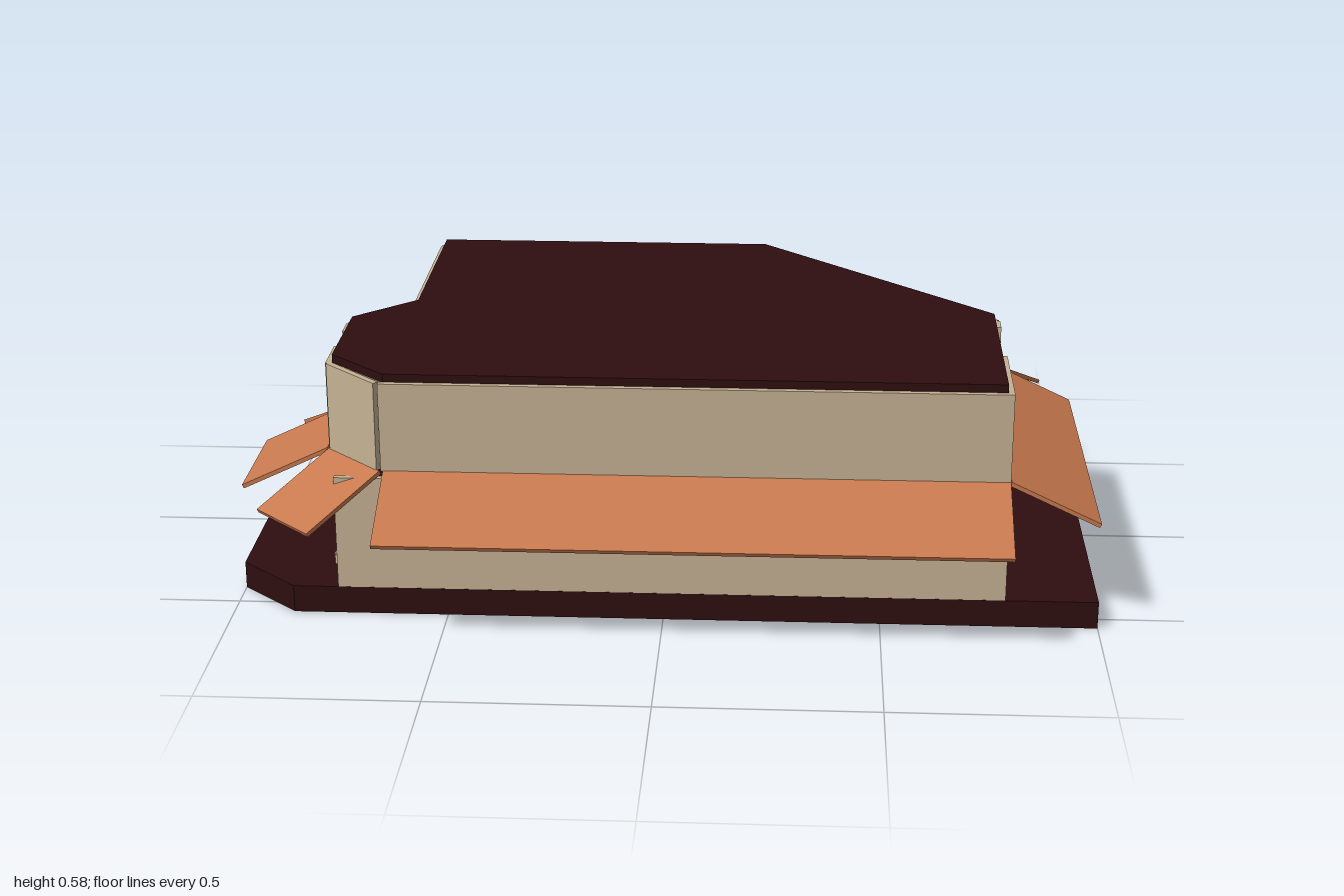
import * as THREE from 'three';

const mat = (name, color) => {
  const m = new THREE.MeshStandardMaterial({ color });
  m.name = name;
  return m;
};

export function createModel() {
  const house = new THREE.Group();
  house.name = 'house';
  const dark = mat('dark slab', 0x2e0e10);
  const plaster = mat('beige plaster', 0xc6b294);
  const tile = mat('terracotta', 0xc8794f);
  const wood = mat('brown wood', 0x662410);

  const add = (name, geo, material, parent = house) => {
    const m = new THREE.Mesh(geo, material);
    m.name = name;
    parent.add(m);
    return m;
  };

  // horizontal plate from an [x, z] outline
  const slab = (name, pts, y0, y1) => {
    const shape = new THREE.Shape(pts.map(([x, z]) => new THREE.Vector2(x, -z)));
    const geo = new THREE.ExtrudeGeometry(shape, { depth: y1 - y0, bevelEnabled: false });
    geo.rotateX(-Math.PI / 2);
    add(name, geo, dark).position.y = y0;
  };

  // upright panel between two plan points
  const wall = (name, [x1, z1], [x2, z2], y0, y1, material = plaster, t = 0.015) => {
    const len = Math.hypot(x2 - x1, z2 - z1);
    const m = add(name, new THREE.BoxGeometry(len, y1 - y0, t), material);
    m.position.set((x1 + x2) / 2, (y0 + y1) / 2, (z1 + z2) / 2);
    m.rotation.y = -Math.atan2(z2 - z1, x2 - x1);
  };

  // sloping canopy hung from a wall edge, falling towards outward angle
  const eave = (name, [x1, z1], [x2, z2], nx, nz) => {
    const pivot = new THREE.Group();
    pivot.name = name;
    pivot.position.set((x1 + x2) / 2, 0.352, (z1 + z2) / 2);
    pivot.rotation.y = Math.atan2(nx, nz);
    const run = 0.207, drop = 0.098, len = Math.hypot(x2 - x1, z2 - z1);
    const geo = new THREE.BoxGeometry(len, 0.01, Math.hypot(run, drop));
    geo.translate(0, 0, Math.hypot(run, drop) / 2);
    add(name + 'Panel', geo, tile, pivot).rotation.x = Math.atan2(drop, run);
    house.add(pivot);
  };

  // slabs
  slab('base', [[-0.86, 0.55], [1, 0.55], [1, -0.28], [0.52, -0.757], [0.2, -0.757],
    [0.2, -0.67], [-0.86, -0.67], [-0.86, -0.02], [-1, 0.12], [-1, 0.42]], 0, 0.065);
  const plan = [[-0.64, 0.54], [0.78, 0.54], [0.78, -0.28], [0.52, -0.54],
    [-0.64, -0.54], [-0.64, -0.02], [-0.78, 0.12], [-0.78, 0.41]];
  slab('groundFloor', plan, 0.065, 0.07);
  slab('upperFloor', plan, 0.335, 0.357);
  slab('roof', [[-0.635, 0.535], [0.773, 0.535], [0.773, 0.025], [0.21, -0.537],
    [-0.632, -0.537], [-0.632, -0.015], [-0.772, 0.125], [-0.772, 0.405]], 0.565, 0.585);

  // ground floor walls
  const g0 = 0.065, g1 = 0.337, low = 0.087;
  wall('frontWall', [-0.755, 0.542], [0.787, 0.542], g0, g1);
  wall('rightWallFront', [0.78, 0.542], [0.78, 0.28], g0, g1);
  wall('rightWallBack', [0.78, 0.07], [0.78, 0], g0, g1);
  wall('backWallLeft', [-0.645, -0.652], [-0.39, -0.652], g0, 0.295);
  wall('backWallRight', [-0.09, -0.652], [0.2, -0.652], g0, 0.295);
  wall('sideWall', [-0.637, -0.652], [-0.637, -0.04], g0, 0.295);
  wall('innerWallAcross', [0.2, -0.652], [0.2, 0], g0, 0.295);
  wall('innerWallAlong', [0.2, 0.005], [0.78, 0.005], g0, g1);
  wall('hallWall', [0.35, 0.005], [0.35, 0.2], g0, g1);

  // low terrace and bay curbs
  const corner = [[0.2, -0.54], [0.52, -0.54], [0.78, -0.28], [0.78, 0.01]];
  const bay = [[-0.64, -0.02], [-0.78, 0.12], [-0.78, 0.41], [-0.65, 0.54]];
  for (let i = 0; i < 3; i++) {
    wall('terraceCurb', corner[i], corner[i + 1], g0, low);
    wall('bayCurb', bay[i], bay[i + 1], g0, low);
    wall('balconyParapet', corner[i], corner[i + 1], 0.355, 0.392);
  }

  // upper floor walls
  const u0 = 0.355, u1 = 0.566;
  wall('upperFrontWall', [-0.645, 0.542], [0.787, 0.542], u0, u1);
  wall('upperRightWallFront', [0.78, 0.542], [0.78, 0.28], u0, u1);
  wall('upperRightWallBack', [0.78, 0.07], [0.78, 0.02], u0, u1);
  wall('upperBackWall', [-0.645, -0.54], [0.21, -0.54], u0, u1);
  wall('upperSideWall', [-0.64, -0.54], [-0.64, -0.02], u0, u1);
  wall('upperBayBack', bay[0], bay[1], u0, u1);
  wall('upperBayFront', bay[2], bay[3], u0, u1);
  wall('upperBayPier', [-0.78, 0.41], [-0.78, 0.29], u0, u1);
  wall('upperBayPierBack', [-0.78, 0.12], [-0.78, 0.18], u0, u1);
  wall('upperBaySill', [-0.78, 0.29], [-0.78, 0.18], u0, 0.392);
  wall('balconyStubBack', [0.205, -0.54], [0.285, -0.465], u0, u1);
  wall('balconyStubFront', [0.705, -0.055], [0.78, 0.02], u0, u1);
  wall('upperInnerWall', [-0.05, -0.54], [-0.05, 0.19], u0, u1);

  // doors
  wall('hallDoor', [0.35, 0.2], [0.35, 0.275], g0, 0.23, wood);
  wall('terraceDoor', [0.211, -0.175], [0.211, -0.04], low, 0.245, wood, 0.009);
  wall('backDoor', [-0.1, -0.64], [-0.1, -0.5], g0, 0.24, wood);
  wall('upperHallDoor', [0.3, 0.2], [0.3, 0.275], u0, 0.51, wood);
  wall('upperRoomDoor', [-0.039, -0.135], [-0.039, -0.07], u0, 0.51, wood, 0.009);
  wall('upperSideDoor', [0.7, 0.082], [0.62, 0.082], u0, 0.51, wood, 0.009);

  // canopies around the first floor
  eave('frontEave', [-0.64, 0.548], [0.787, 0.548], 0, 1);
  eave('rightEave', [0.787, 0.548], [0.787, -0.28], 1, 0);
  eave('cornerEave', [0.785, -0.28], [0.52, -0.545], 1, -1);
  eave('backEave', [0.52, -0.548], [-0.652, -0.548], 0, -1);
  eave('sideEave', [-0.648, -0.548], [-0.648, -0.02], -1, 0);
  eave('bayBackEave', [-0.645, -0.025], [-0.787, 0.115], -1, -1);
  eave('bayEave', [-0.79, 0.115], [-0.79, 0.41], -1, 0);
  eave('bayFrontEave', [-0.787, 0.41], [-0.645, 0.548], -1, 1);

  return house;
}
